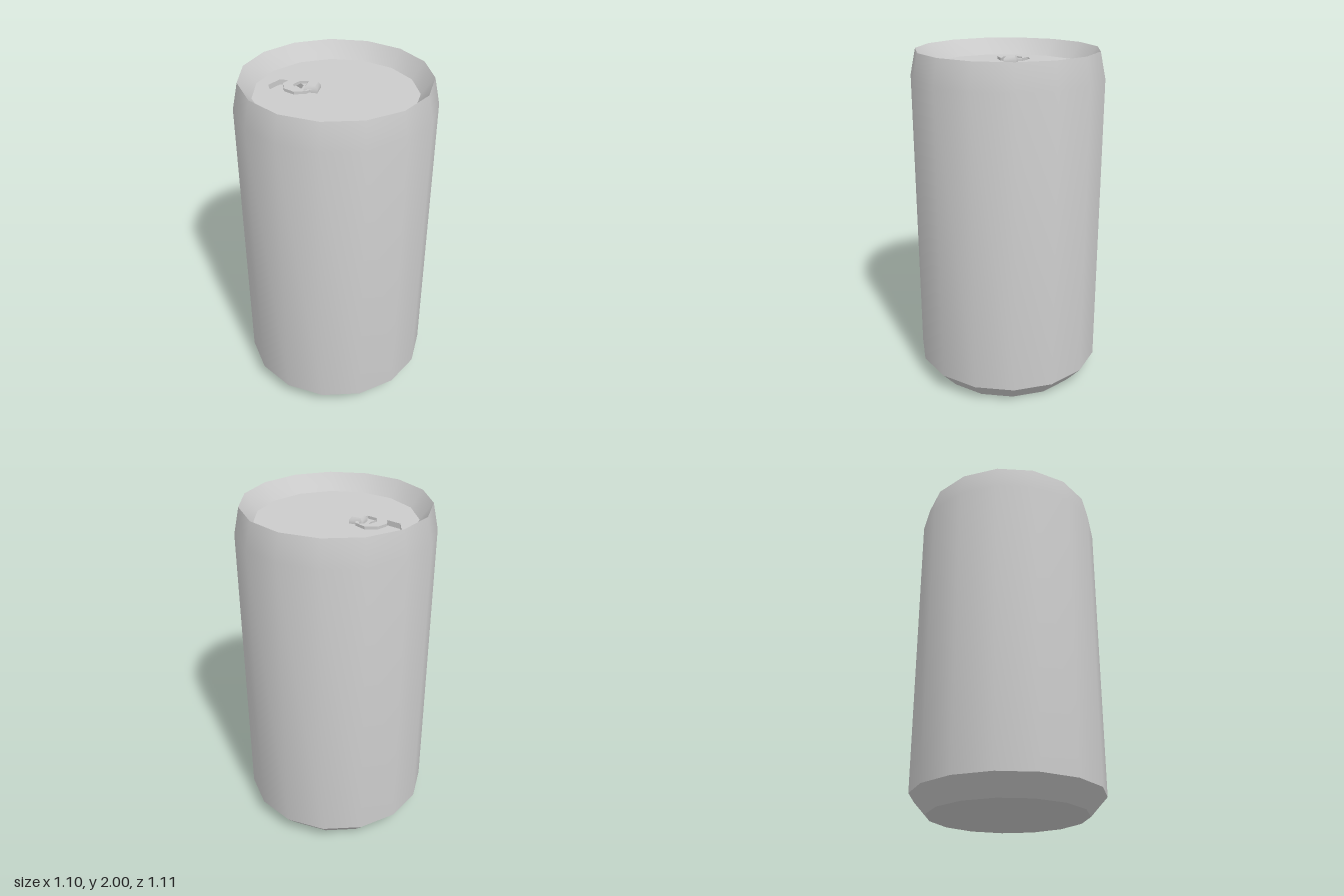
import * as THREE from 'three';
import { toCreasedNormals } from 'three/addons/utils/BufferGeometryUtils.js';

const LID_Y = 1.905;
const CREASE = 0.6;

export function createModel() {
  const group = new THREE.Group();
  const material = new THREE.MeshStandardMaterial({ color: 0xcccccc });

  const add = (name, geometry, x = 0, y = 0) => {
    const mesh = new THREE.Mesh(toCreasedNormals(geometry, CREASE), material);
    mesh.name = name;
    mesh.position.set(x, y, 0);
    group.add(mesh);
    return mesh;
  };

  // Lathe with its first corner pointing to -x
  const lathe = (profile, sides) => new THREE.LatheGeometry(
    profile.map(([r, y]) => new THREE.Vector2(r, y)), sides, -Math.PI / 2);

  // Corners of a regular polygon with its first corner pointing to -x
  const polygon = (radius, sides, cx = 0) => Array.from({ length: sides }, (_, i) => {
    const a = Math.PI + (i / sides) * Math.PI * 2;
    return new THREE.Vector2(cx + radius * Math.cos(a), radius * Math.sin(a));
  });

  // Can body: base, bottom chamfer, wall, neck, sharp rim and inner slope
  add('body', lathe([
    [0, 0], [0.46, 0], [0.558, 0.11], [0.558, 1.85], [0.526, 2], [0.455, LID_Y],
  ], 15));

  // Lid with the mouth cut out
  const lidShape = new THREE.Shape(polygon(0.455, 15));
  lidShape.holes.push(new THREE.Path(polygon(0.1, 7, -0.285)));
  add('lid', new THREE.ShapeGeometry(lidShape).rotateX(-Math.PI / 2), 0, LID_Y);

  // Sunken mouth: inner walls and floor
  add('mouth', lathe([[0.1, 0], [0.1, -0.03], [0, -0.03]], 7), -0.285, LID_Y);

  // Pull ring, its hole set towards the rivet
  const ringShape = new THREE.Shape(polygon(0.09, 8, -0.21));
  ringShape.holes.push(new THREE.Path(polygon(0.064, 7, -0.177)));
  const ring = new THREE.ExtrudeGeometry(ringShape, { depth: 0.016, bevelEnabled: false });
  add('pullRing', ring.rotateX(-Math.PI / 2), 0, LID_Y + 0.004);

  // Rivet block with a tapered top
  const rivet = new THREE.BoxGeometry(0.076, 0.036, 0.076, 1, 2, 1);
  const p = rivet.attributes.position;
  for (let i = 0; i < p.count; i++) {
    if (p.getY(i) > 0.01) {
      p.setX(i, p.getX(i) * 0.68);
      p.setZ(i, p.getZ(i) * 0.68);
    }
  }
  add('rivet', rivet, -0.133, LID_Y + 0.018);

  return group;
}
